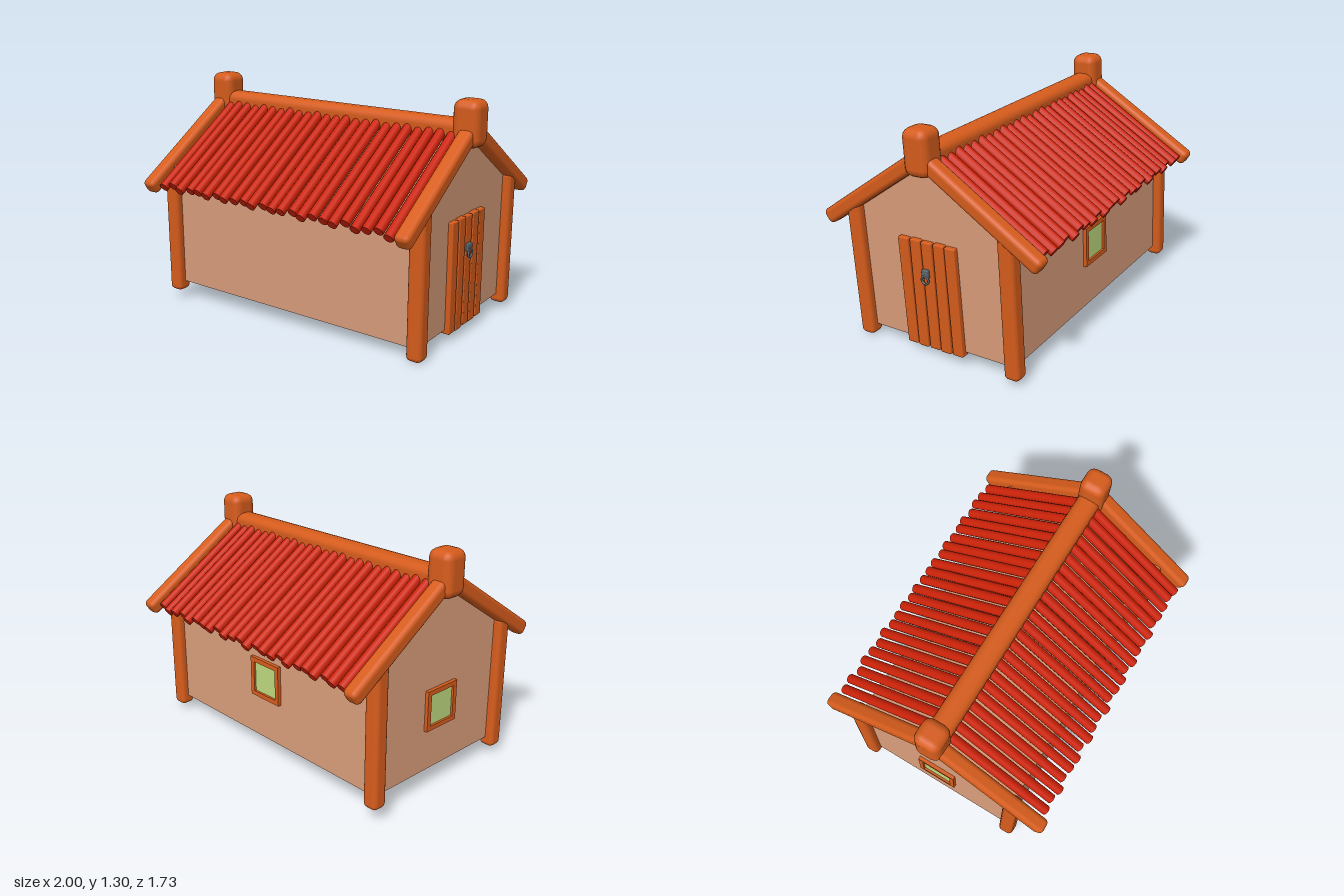
import * as THREE from 'three';
import { RoundedBoxGeometry } from 'three/addons/geometries/RoundedBoxGeometry.js';

const mat = (color) => new THREE.MeshStandardMaterial({ color });
const WOOD = mat(0xd65c1c), WALL = mat(0xd89c7a), TILE = mat(0xcc2208), GLASS = mat(0xbcd67c), IRON = mat(0x5a646c);

// Half length (x) and half width (z) of the hut, roof pitch and ridge height
const HL = 0.81, HW = 0.47, PITCH = 0.58, RIDGE = 1.085;

function add(parent, name, geometry, material, x = 0, y = 0, z = 0) {
  const m = new THREE.Mesh(geometry, material);
  m.name = name;
  m.position.set(x, y, z);
  parent.add(m);
  return m;
}
const log = (w, h, d, r) => new RoundedBoxGeometry(w, h, d, 2, r);

// Square framed window facing +z
function makeWindow() {
  const g = new THREE.Group();
  g.name = 'window';
  const size = 0.225, bar = 0.026, off = (size - bar) / 2;
  for (const s of [-1, 1]) {
    add(g, 'frameSide', new THREE.BoxGeometry(bar, size, 0.04), WOOD, s * off, 0, 0);
    add(g, 'frameBar', new THREE.BoxGeometry(size - 2 * bar, bar, 0.04), WOOD, 0, s * off, 0);
  }
  add(g, 'glass', new THREE.BoxGeometry(size - 2 * bar, size - 2 * bar, 0.012), GLASS, 0, 0, 0.002);
  return g;
}

// Five-plank door with a ring handle, facing +x
function makeDoor() {
  const g = new THREE.Group();
  g.name = 'door';
  for (let i = 0; i < 5; i++) {
    const p = add(g, 'plank', log(0.055, 0.605 + (i % 2) * 0.006, 0.064, 0.006), WOOD, 0, 0.335, (i - 2) * 0.073);
    p.rotation.x = [0.008, -0.005, 0.004, -0.006, 0.006][i];
  }
  add(g, 'handlePlate', log(0.02, 0.045, 0.042, 0.005), IRON, 0.035, 0.47, 0.01);
  const ring = add(g, 'handleRing', new THREE.TorusGeometry(0.021, 0.006, 8, 20), IRON, 0.043, 0.437, 0.01);
  ring.rotation.y = Math.PI / 2;
  return g;
}

// One roof slope running down towards +z
function makeSlope(seed) {
  const g = new THREE.Group();
  g.name = 'roofSlope';
  const pitch = new THREE.Group();
  pitch.position.y = RIDGE;
  pitch.rotation.x = PITCH;
  g.add(pitch);
  for (const s of [-1, 1]) add(pitch, 'rafter', log(0.084, 0.084, 0.8, 0.026), WOOD, s * 0.82, 0, 0.39);
  const n = 24;
  for (let i = 0; i < n; i++) {
    const j = Math.sin((i + 1) * 2.4 + seed), k = Math.sin((i + 1) * 4.1 + seed);
    const len = 0.735 + j * 0.012;
    const t = add(pitch, 'roofPole', new THREE.CylinderGeometry(0.027, 0.027, len, 12), TILE,
      -0.737 + (1.474 * i) / (n - 1), k * 0.005, 0.02 + len / 2);
    t.rotation.x = Math.PI / 2;
  }
  return g;
}

export function createModel() {
  const model = new THREE.Group();
  model.name = 'hut';

  // The hut leans slightly and is turned about its vertical axis
  const lean = new THREE.Group();
  lean.name = 'leaningHut';
  lean.position.set(-0.015, 0.05, -0.025);
  lean.rotation.set(0.04, 0, -0.02);
  model.add(lean);
  const hut = new THREE.Group();
  hut.name = 'hutBody';
  hut.rotation.y = -Math.PI / 12;
  lean.add(hut);

  // Walls with gables, a pentagon extruded along the length
  const eave = 0.74, apex = 1.05, base = 0.055;
  const gable = new THREE.Shape([[-HW, base], [HW, base], [HW, eave], [0, apex], [-HW, eave]]
    .map(([x, y]) => new THREE.Vector2(x, y)));
  const walls = new THREE.ExtrudeGeometry(gable, { depth: 2 * HL, bevelEnabled: false });
  walls.translate(0, 0, -HL).rotateY(Math.PI / 2);
  add(hut, 'walls', walls, WALL);

  // Corner posts
  for (const sx of [-1, 1]) for (const sz of [-1, 1])
    add(hut, 'cornerPost', log(0.088, 0.77, 0.088, 0.026), WOOD, sx * HL, 0.385, sz * HW);

  // Roof slopes, ridge beam and ridge end caps
  hut.add(makeSlope(0.5));
  const back = makeSlope(2);
  back.rotation.y = Math.PI;
  hut.add(back);
  add(hut, 'ridgeBeam', log(1.6, 0.125, 0.125, 0.045), WOOD, 0, 1.068, 0);
  for (const s of [-1, 1]) add(hut, 'ridgeCap', log(0.15, 0.245, 0.15, 0.046), WOOD, s * HL, 1.112, 0);

  // Door on one gable, windows on the other gable and the back wall
  const door = makeDoor();
  door.position.set(HL, 0, 0.01);
  hut.add(door);
  const backWindow = makeWindow();
  backWindow.position.set(0, 0.415, -HW);
  backWindow.rotation.y = Math.PI;
  const gableWindow = makeWindow();
  gableWindow.position.set(-HL, 0.4, 0);
  gableWindow.rotation.y = -Math.PI / 2;
  hut.add(backWindow, gableWindow);

  return model;
}
